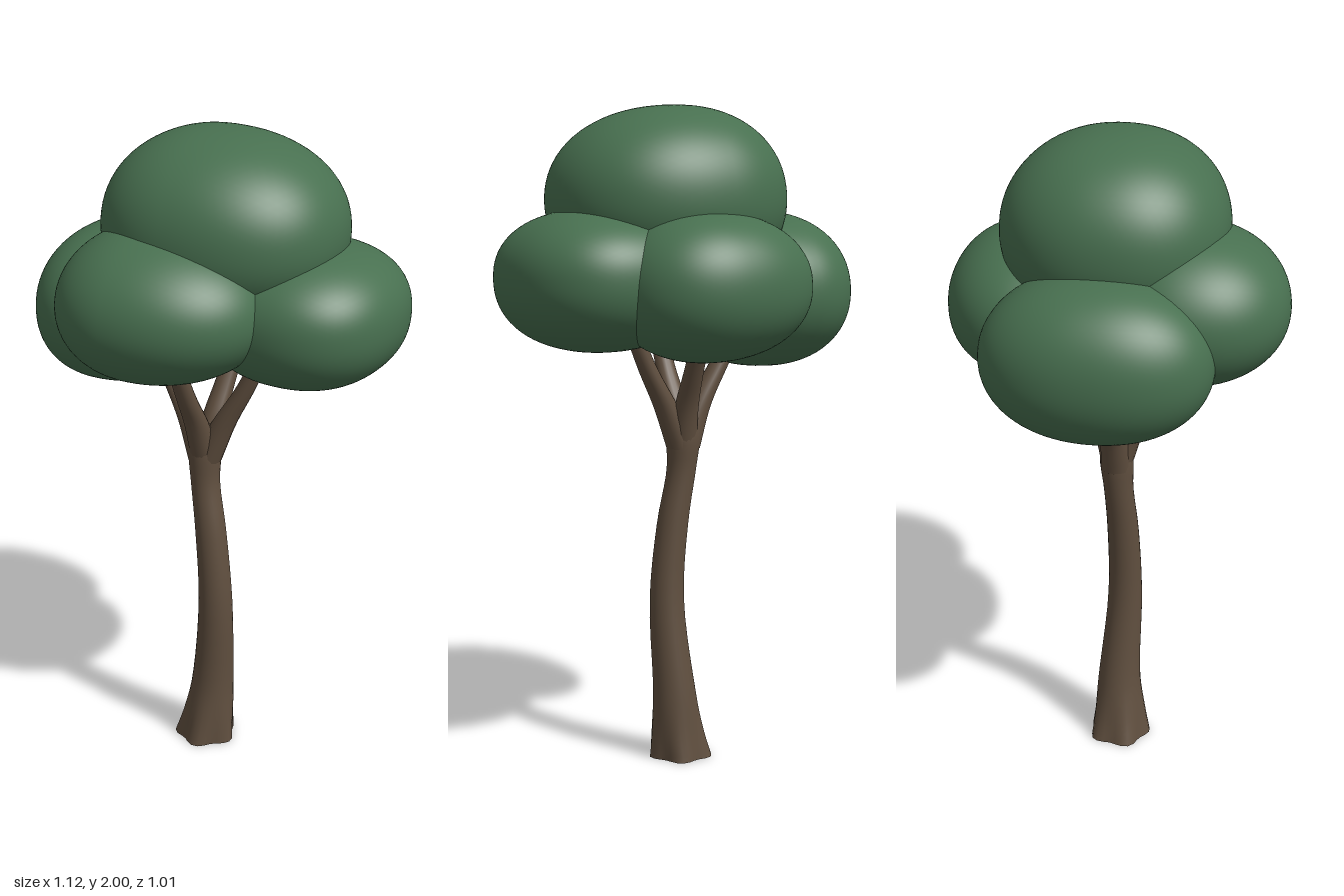
import * as THREE from 'three';
import { mergeVertices } from 'three/addons/utils/BufferGeometryUtils.js';

const bark = new THREE.MeshStandardMaterial({ color: 0x604f3f });
bark.name = 'bark brown';
const leaf = new THREE.MeshStandardMaterial({ color: 0x487050 });
leaf.name = 'leaf green';

// Smooth lump: rounded ball with its own reach in -x, +x, -y, +y, -z, +z
function foliage(name, center, reach, power = 2.15) {
  let geo = new THREE.IcosahedronGeometry(1, 14);
  geo.deleteAttribute('uv');
  geo.deleteAttribute('normal');
  geo = mergeVertices(geo, 1e-4);
  const pos = geo.attributes.position;
  for (let i = 0; i < pos.count; i++) {
    const d = [pos.getX(i), pos.getY(i), pos.getZ(i)];
    const len = Math.pow(d.reduce((s, v) => s + Math.abs(v) ** power, 0), 1 / power);
    const p = d.map((v, k) => center[k] + (v / len) * reach[k * 2 + (v > 0 ? 1 : 0)]);
    pos.setXYZ(i, ...p);
  }
  geo.computeVertexNormals();
  const mesh = new THREE.Mesh(geo, leaf);
  mesh.name = name;
  return mesh;
}

// Tapering limb of level rings through stations [x, y, z, radius], closed at both ends
function limb(name, stations, lobes = 0, rings = 30, sides = 28) {
  const path = new THREE.CatmullRomCurve3(stations.map(s => new THREE.Vector3(s[0], s[1], s[2])));
  const radii = new THREE.CatmullRomCurve3(stations.map(s => new THREE.Vector3(s[3], s[1], 0)));
  const verts = [], index = [];
  for (let i = 0; i <= rings; i++) {
    const t = i / rings, c = path.getPoint(t), r = radii.getPoint(t).x;
    for (let j = 0; j < sides; j++) {
      const a = (j / sides) * Math.PI * 2;
      // root flare fades out up the trunk
      const k = r * (1 + lobes * Math.max(0, 1 - t * 4) * Math.sin(a * 5 + 0.6));
      verts.push(c.x + Math.cos(a) * k, c.y, c.z + Math.sin(a) * k);
      if (i < rings) {
        const n = (j + 1) % sides, p = i * sides;
        index.push(p + j, p + sides + j, p + n, p + n, p + sides + j, p + sides + n);
      }
    }
  }
  // separate rims for the flat end caps
  for (const end of [0, rings]) {
    const start = verts.length / 3, c = path.getPoint(end / rings);
    verts.push(...verts.slice(end * sides * 3, (end + 1) * sides * 3), c.x, c.y, c.z);
    for (let j = 0; j < sides; j++) {
      const a = start + j, b = start + ((j + 1) % sides), m = start + sides;
      index.push(...(end ? [m, b, a] : [m, a, b]));
    }
  }
  const geo = new THREE.BufferGeometry();
  geo.setAttribute('position', new THREE.Float32BufferAttribute(verts, 3));
  geo.setIndex(index);
  geo.computeVertexNormals();
  const mesh = new THREE.Mesh(geo, bark);
  mesh.name = name;
  return mesh;
}

export function createModel() {
  const tree = new THREE.Group();
  tree.name = 'tree';

  // Gently bowed trunk
  tree.add(limb('trunk', [
    [-0.047, 0, 0.015, 0.091], [-0.036, 0.08, 0.014, 0.08], [-0.023, 0.21, 0.012, 0.066],
    [-0.005, 0.5, 0.027, 0.053], [-0.024, 0.74, 0.023, 0.048], [-0.048, 0.9, 0.013, 0.045],
    [-0.052, 1.0, 0.008, 0.051], [-0.05, 1.09, 0.006, 0.044],
  ], 0.1));

  // Four forking branches reaching into the crown
  const branches = new THREE.Group();
  branches.name = 'branches';
  branches.add(
    limb('leftSideBranch', [[-0.06, 0.97, 0.008, 0.045], [-0.105, 1.1, 0.006, 0.04], [-0.175, 1.22, 0, 0.031], [-0.24, 1.33, 0, 0.026]], 0, 14, 16),
    limb('rightSideBranch', [[-0.045, 0.97, 0.008, 0.045], [0.012, 1.1, 0.004, 0.038], [0.08, 1.22, -0.002, 0.03], [0.15, 1.37, -0.008, 0.024]], 0, 14, 16),
    limb('frontBranch', [[-0.052, 0.97, 0.01, 0.042], [-0.053, 1.1, 0.055, 0.038], [-0.055, 1.2, 0.11, 0.031], [-0.06, 1.38, 0.195, 0.026]], 0, 14, 16),
    limb('backBranch', [[-0.05, 0.97, 0.006, 0.042], [-0.04, 1.1, -0.03, 0.037], [-0.03, 1.2, -0.08, 0.031], [-0.015, 1.36, -0.165, 0.026]], 0, 14, 16),
  );
  tree.add(branches);

  // Crown of five overlapping lumps
  const crown = new THREE.Group();
  crown.name = 'crown';
  crown.add(
    foliage('topFoliage', [-0.02, 1.72, 0], [0.32, 0.4, 0.26, 0.28, 0.33, 0.33]),
    foliage('frontFoliage', [-0.1, 1.53, 0.22], [0.27, 0.36, 0.22, 0.23, 0.27, 0.295], 2.05),
    foliage('backFoliage', [0.04, 1.475, -0.25], [0.33, 0.28, 0.215, 0.22, 0.25, 0.268]),
    foliage('leftSideFoliage', [-0.32, 1.445, 0], [0.24, 0.31, 0.235, 0.24, 0.335, 0.33]),
    foliage('rightSideFoliage', [0.27, 1.5, -0.03], [0.3, 0.287, 0.215, 0.2, 0.3, 0.305], 2.25),
  );
  tree.add(crown);
  return tree;
}
